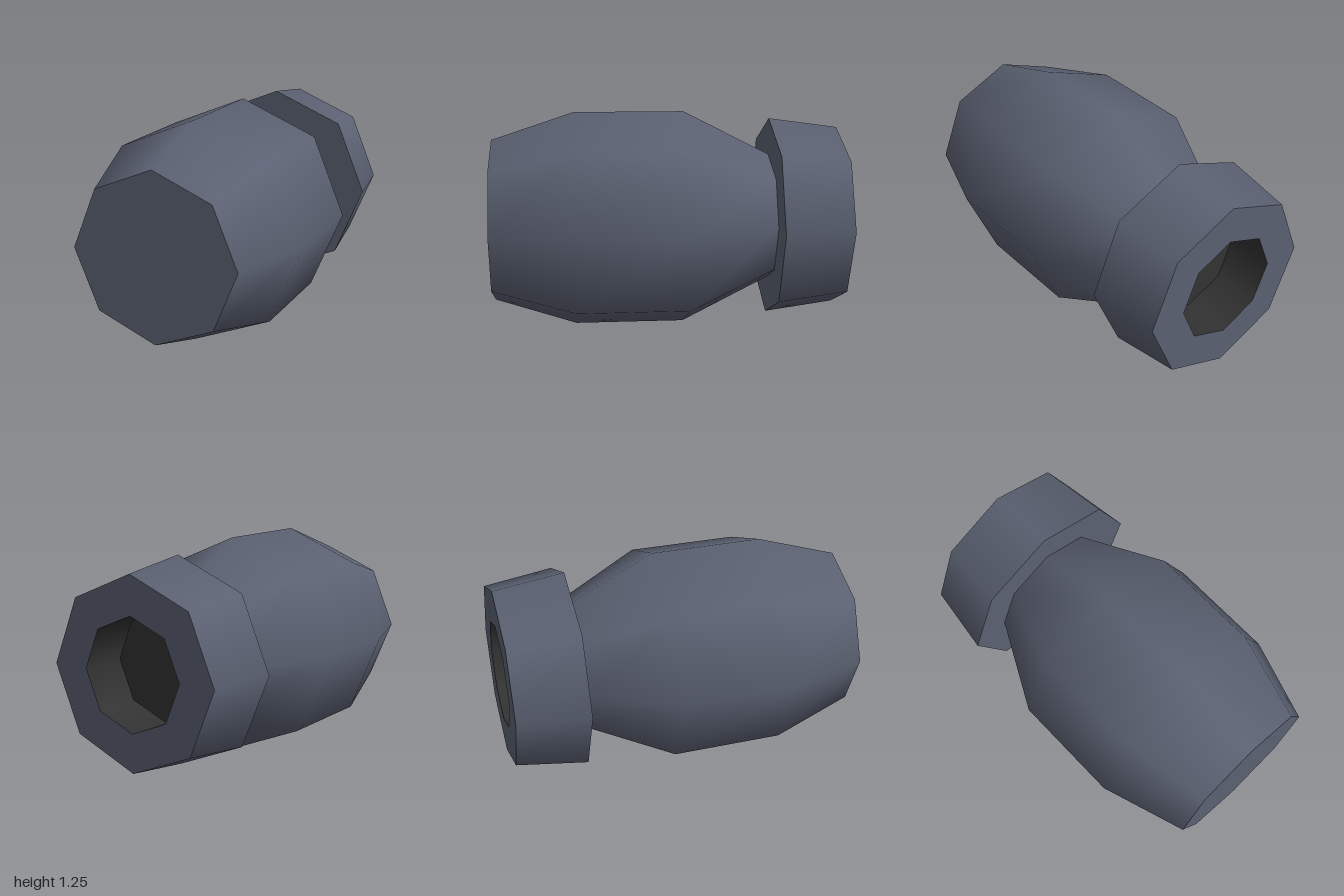
import * as THREE from 'three';

const SIDES = 8;

// Octagonal surface around the z axis; profile points are [radius, z].
function turned(name, profile, material) {
  const points = profile.map(([r, z]) => new THREE.Vector2(r, z));
  const geometry = new THREE.LatheGeometry(points, SIDES);
  geometry.rotateX(Math.PI / 2);
  const mesh = new THREE.Mesh(geometry, material);
  mesh.name = name;
  return mesh;
}

export function createModel() {
  const shell = new THREE.MeshStandardMaterial({ color: 0x5b6172 });
  shell.name = 'slate blue';
  const bore = new THREE.MeshStandardMaterial({ color: 0x333333 });
  bore.name = 'dark grey';

  const model = new THREE.Group();
  model.name = 'barrel';

  // Bulging body with a flat front; separate sections keep the rims sharp
  const body = new THREE.Group();
  body.name = 'body';
  body.add(
    turned('bodySide', [[0.37, -0.6], [0.625, -0.1], [0.625, 0.53], [0.47, 1]], shell),
    turned('frontCap', [[0.47, 1], [0, 1]], shell),
  );

  // Flared collar at the back
  const collar = new THREE.Group();
  collar.name = 'collar';
  collar.add(
    turned('collarSide', [[0.525, -1], [0.58, -0.6]], shell),
    turned('collarShoulder', [[0.58, -0.6], [0.36, -0.6]], shell),
    turned('rearRim', [[0.31, -1], [0.525, -1]], shell),
  );

  // Recessed opening in the collar
  const opening = new THREE.Group();
  opening.name = 'opening';
  opening.add(
    turned('openingWall', [[0.31, -0.73], [0.31, -1]], bore),
    turned('openingFloor', [[0, -0.73], [0.31, -0.73]], bore),
  );

  model.add(body, collar, opening);
  for (const part of model.children) part.position.y = 0.625;
  return model;
}
